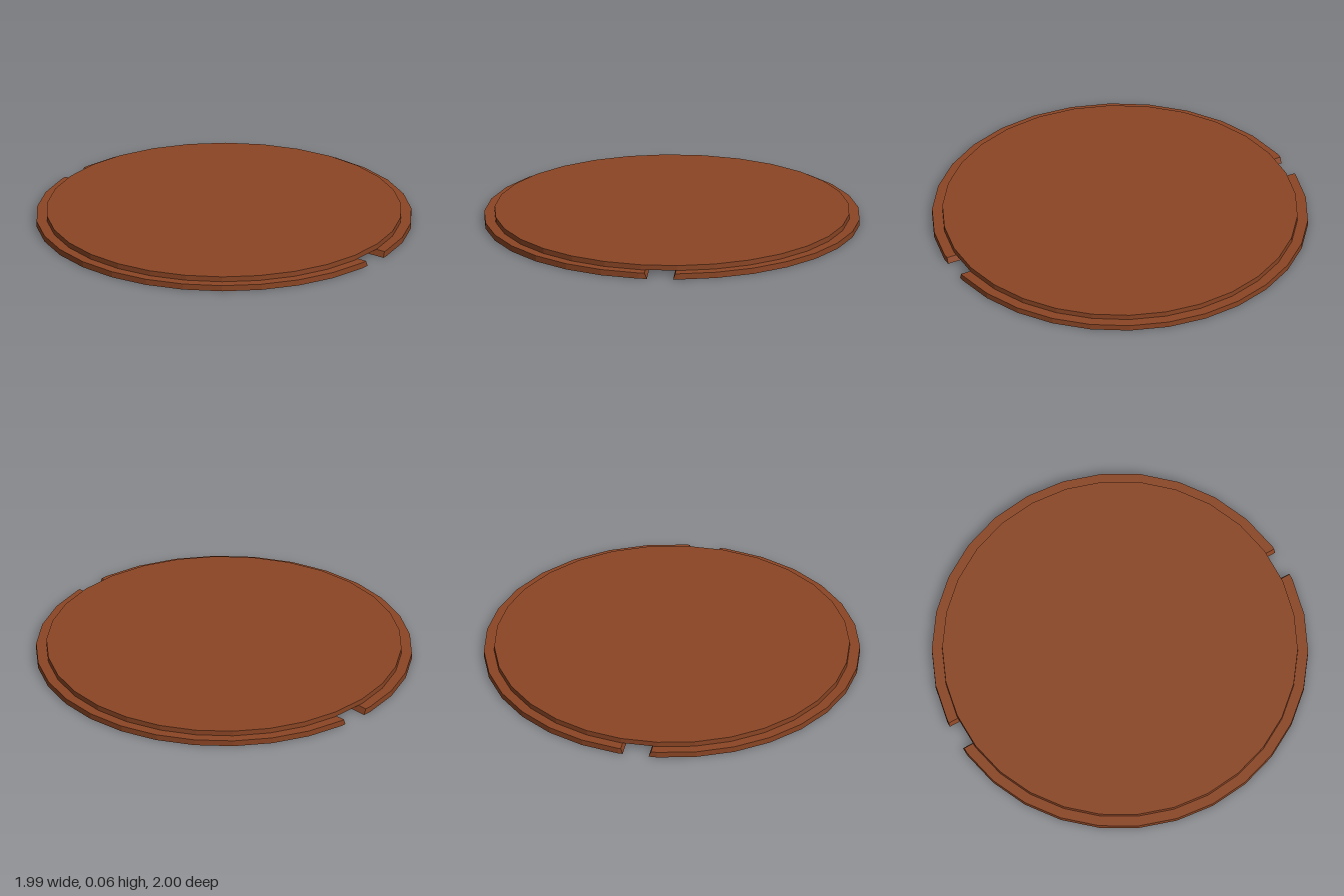
import * as THREE from 'three';

const SIDES = 30;
const LEDGE = 0.032;                      // height of the grooved base
const APOTHEM = Math.cos(Math.PI / SIDES); // flat facet distance at +-x

// One half of the base disc; the cut wall slopes so the groove widens upward.
// dir is +1 for the front half (+z), -1 for the back half.
function baseHalf(dir, cutBottom, cutTop) {
  const step = (Math.PI * 2) / SIDES;
  const start = dir > 0 ? Math.PI : 0;
  const outline = [];
  for (let i = 0; i < SIDES / 2; i++) {
    const a = start + (i + 0.5) * step;
    outline.push(new THREE.Vector2(Math.cos(a), Math.sin(a)));
  }
  outline.push(new THREE.Vector2(dir * APOTHEM, -cutBottom));
  outline.push(new THREE.Vector2(-dir * APOTHEM, -cutBottom));

  const geo = new THREE.ExtrudeGeometry(new THREE.Shape(outline), {
    depth: LEDGE, bevelEnabled: false,
  });
  geo.rotateX(-Math.PI / 2);

  // Push the upper edge of the cut outward to form the dovetail wall
  const p = geo.attributes.position;
  for (let i = 0; i < p.count; i++) {
    if (p.getY(i) > LEDGE / 2 && Math.abs(p.getZ(i) - cutBottom) < 1e-4) p.setZ(i, cutTop);
  }
  geo.computeVertexNormals();
  return geo;
}

export function createModel() {
  const group = new THREE.Group();
  group.name = 'groovedDisc';
  const brown = new THREE.MeshStandardMaterial({ color: 0x8a4524 });
  brown.name = 'brown';

  const add = (name, geo) => {
    const mesh = new THREE.Mesh(geo, brown);
    mesh.name = name;
    group.add(mesh);
  };

  // Base split by the dovetail groove
  add('frontBase', baseHalf(1, 0.06, 0.073));
  add('backBase', baseHalf(-1, -0.08, -0.091));

  // Smaller raised disc, faceted
  const height = 0.06 - LEDGE;
  const top = new THREE.CylinderGeometry(0.945, 0.945, height, SIDES).toNonIndexed();
  top.computeVertexNormals();
  top.translate(0, LEDGE + height / 2, 0);
  add('raisedDisc', top);

  return group;
}
